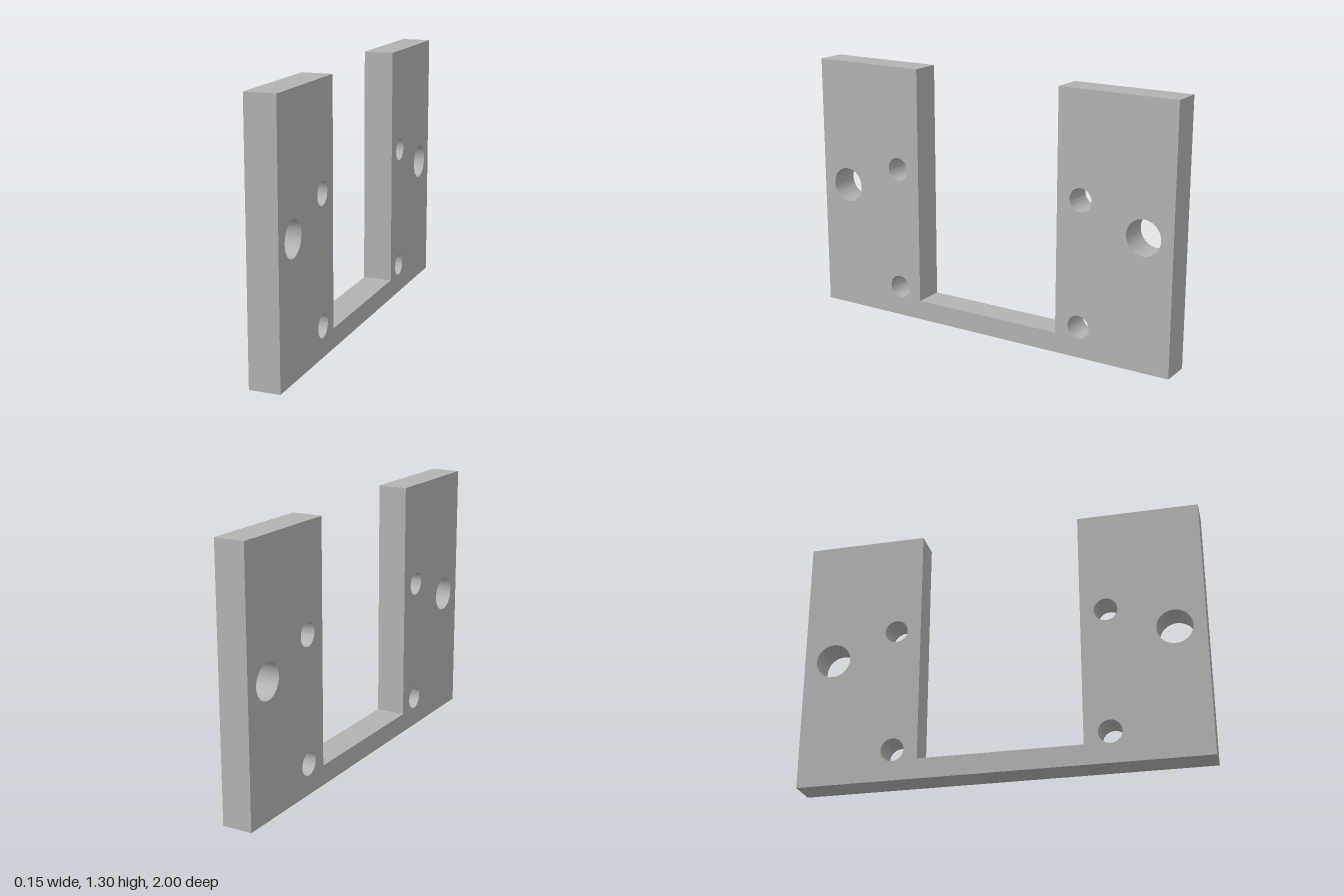
import * as THREE from 'three';
import { toCreasedNormals } from 'three/addons/utils/BufferGeometryUtils.js';

const THICKNESS = 0.15;

export function createModel() {
  const group = new THREE.Group();
  group.name = 'mountingBracket';

  const grey = new THREE.MeshStandardMaterial({ color: 0xb2b2b2 });
  grey.name = 'plain grey';

  // U-shaped outline: two wide uprights joined by a thin bottom bar
  const outline = new THREE.Shape([
    [-1, 0], [1, 0], [1, 1.3], [0.4, 1.3],
    [0.4, 0.1], [-0.4, 0.1], [-0.4, 1.3], [-1, 1.3],
  ].map(([x, y]) => new THREE.Vector2(x, y)));

  // Mirrored through holes: one large and two small in each upright
  const holes = [[0.85, 0.653, 0.0875], [0.525, 0.78, 0.0575], [0.525, 0.154, 0.0575]];
  for (const side of [-1, 1]) {
    for (const [x, y, radius] of holes) {
      const hole = new THREE.Path();
      hole.absarc(side * x, y, radius, 0, Math.PI * 2, true);
      outline.holes.push(hole);
    }
  }

  // Extrude across the thickness and turn the outline along z
  const plate = new THREE.ExtrudeGeometry(outline, {
    depth: THICKNESS, bevelEnabled: false, curveSegments: 24,
  });
  plate.translate(0, 0, -THICKNESS / 2);
  plate.rotateY(-Math.PI / 2);

  const mesh = new THREE.Mesh(toCreasedNormals(plate, 0.6), grey);
  mesh.name = 'bracketPlate';
  group.add(mesh);
  return group;
}
